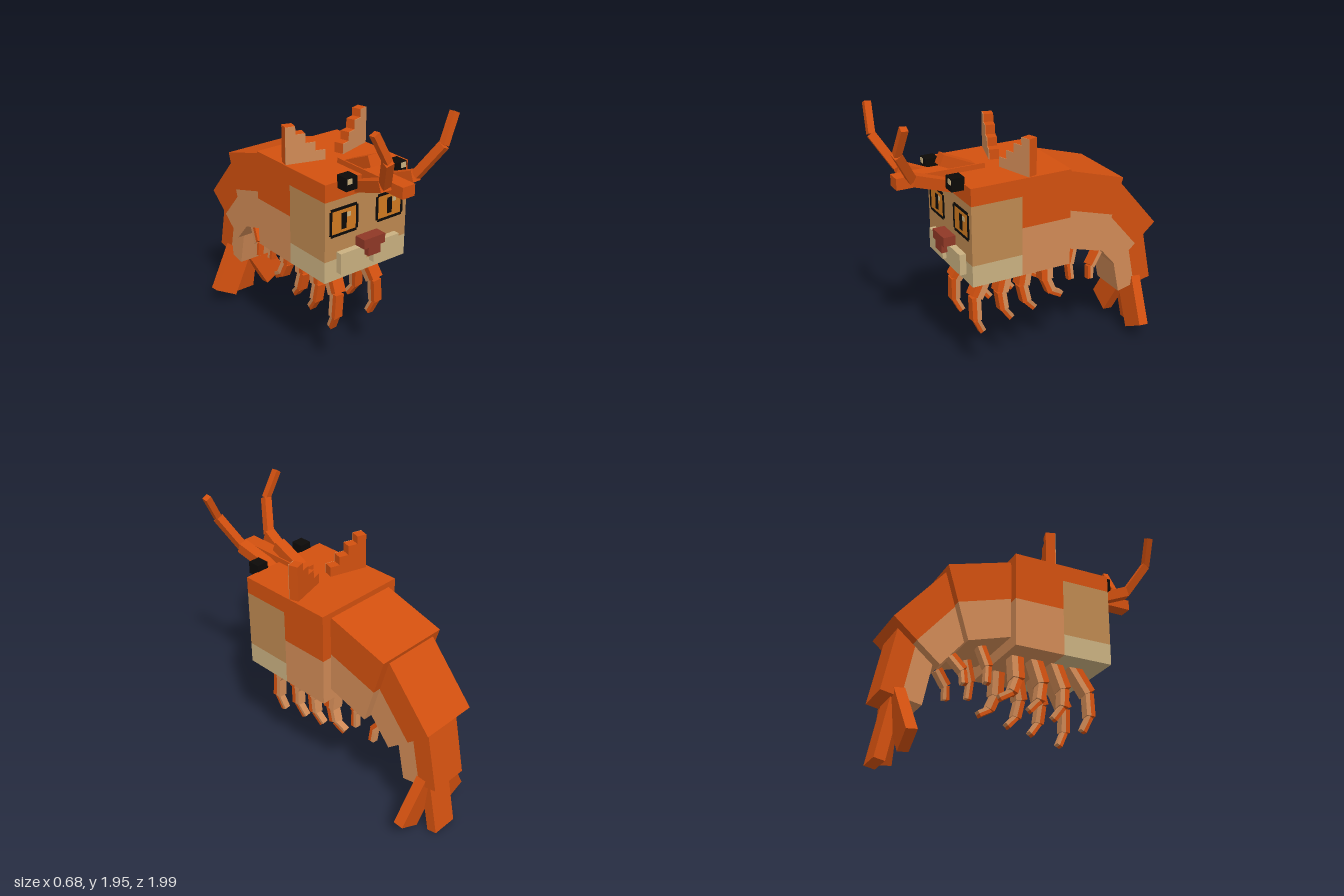
import * as THREE from 'three';

const mat = (name, color) => {
  const m = new THREE.MeshStandardMaterial({ color });
  m.name = name;
  return m;
};

export function createModel() {
  const orange = mat('shellOrange', 0xd2500f);
  const belly = mat('bellyTan', 0xd08a56);
  const faceTan = mat('faceTan', 0xbd8850);
  const cream = mat('cream', 0xc9b080);
  const black = mat('black', 0x0c0a08);
  const amber = mat('amber', 0xd07a20);
  const red = mat('noseRed', 0x8f3826);

  const root = new THREE.Group();
  root.name = 'catShrimp';
  const group = (name, parent = root) => {
    const g = new THREE.Group();
    g.name = name;
    parent.add(g);
    return g;
  };

  // Axis-aligned box given by its limits
  const block = (parent, name, m, x0, x1, y0, y1, z0, z1) => {
    const mesh = new THREE.Mesh(new THREE.BoxGeometry(x1 - x0, y1 - y0, z1 - z0), m);
    mesh.position.set((x0 + x1) / 2, (y0 + y1) / 2, (z0 + z1) / 2);
    mesh.name = name;
    parent.add(mesh);
    return mesh;
  };

  // Bar running from a to b; with two materials it is split along its depth
  const bar = (parent, name, a, b, width, depth, mPlus, mMinus) => {
    const A = new THREE.Vector3(...a), B = new THREE.Vector3(...b);
    const Y = B.clone().sub(A), len = Y.length();
    Y.normalize();
    const X = new THREE.Vector3(1, 0, 0).addScaledVector(Y, -Y.x).normalize();
    const Z = X.clone().cross(Y);
    const g = group(name, parent);
    g.quaternion.setFromRotationMatrix(new THREE.Matrix4().makeBasis(X, Y, Z));
    g.position.copy(A).add(B).multiplyScalar(0.5);
    const w = width / 2, l = len / 2, d = depth / 2;
    if (mMinus) {
      block(g, name + 'Upper', mPlus, -w, w, -l, l, 0, d);
      block(g, name + 'Lower', mMinus, -w, w, -l, l, -d, 0);
    } else block(g, name + 'Block', mPlus, -w, w, -l, l, -d, d);
  };

  // Head block in colour bands
  const head = group('head');
  block(head, 'backShell', orange, -0.34, 0.34, 1.16, 1.5, -0.17, 0.19);
  block(head, 'backBelly', belly, -0.34, 0.34, 0.82, 1.16, -0.17, 0.19);
  block(head, 'brow', orange, -0.34, 0.34, 1.38, 1.5, 0.19, 0.55);
  block(head, 'face', faceTan, -0.34, 0.34, 0.97, 1.38, 0.19, 0.55);
  block(head, 'chin', cream, -0.34, 0.34, 0.82, 0.97, 0.19, 0.55);
  block(head, 'lipPatch', faceTan, -0.03, 0.03, 0.9, 0.97, 0.55, 0.554);

  // Nose
  block(head, 'noseTop', red, -0.088, 0.088, 1.02, 1.085, 0.54, 0.635);
  block(head, 'noseStem', red, -0.05, 0.05, 0.96, 1.02, 0.54, 0.635);

  // Rostrum and its raised crest
  block(head, 'rostrum', orange, -0.05, 0.05, 1.457, 1.535, 0.31, 0.92);
  bar(head, 'crest', [0, 1.5, 0.385], [0, 1.598, 0.605], 0.08, 0.075, orange);

  for (const s of [-1, 1]) {
    const side = s > 0 ? 'left' : 'right';
    const span = (a, b) => (s > 0 ? [a, b] : [-b, -a]);

    block(head, side + 'Muzzle', cream, ...span(0.03, 0.245), 0.875, 1.02, 0.54, 0.595);

    // Painted eye: amber plate, black frame, pupil and glint
    const eye = group(side + 'Eye', head);
    block(eye, 'iris', amber, ...span(0.085, 0.3), 1.138, 1.315, 0.55, 0.553);
    for (const y of [1.13, 1.306])
      block(eye, 'frameRow', black, ...span(0.09, 0.295), y, y + 0.018, 0.55, 0.556);
    for (const x of [0.075, 0.287])
      block(eye, 'frameColumn', black, ...span(x, x + 0.018), 1.145, 1.308, 0.55, 0.556);
    block(eye, 'pupil', black, ...span(0.17, 0.21), 1.17, 1.28, 0.55, 0.556);
    const gx = s * 0.19 + 0.025;
    block(eye, 'glint', cream, gx, gx + 0.03, 1.245, 1.275, 0.55, 0.556);

    // Cube eyes on top
    block(head, side + 'TopEye', black, ...span(0.157, 0.245), 1.46, 1.547, 0.545, 0.635);
    block(head, side + 'TopEyeGlint', cream, ...span(0.2, 0.238), 1.505, 1.54, 0.635, 0.639);

    // Stepped ear with a tan front
    const ear = group(side + 'Ear', head);
    ear.position.set(s * 0.195, 1.5, 0.147);
    ear.rotation.y = s * 0.29;
    [0.07, 0.13, 0.195, 0.25].forEach((h, i) => {
      const x = -0.136 + i * 0.068;
      block(ear, 'earStep', orange, ...span(x, x + 0.068), -0.02, h, -0.035, 0.031);
      block(ear, 'earFront', belly, ...span(x, x + 0.068), -0.02, h, 0.031, 0.035);
    });

    // Antenna
    const antenna = group(side + 'Antenna');
    const ant = [[0.065, 1.42, 0.52], [0.125, 1.545, 0.845], [0.222, 1.755, 0.968], [0.315, 1.94, 0.95]];
    [0.075, 0.055, 0.045].forEach((w, i) => {
      const p = (q) => [s * q[0], q[1], q[2]];
      bar(antenna, 'antennaPart', p(ant[i]), p(ant[i + 1]), w, w, orange);
    });

    // Legs: joints as [y, z], orange in front and tan behind
    const legs = [
      [[0.84, 0.35], [0.65, 0.46], [0.48, 0.46], [0.375, 0.41]],
      [[0.84, 0.21], [0.645, 0.27], [0.515, 0.255], [0.425, 0.19]],
      [[0.84, 0.06], [0.655, 0.105], [0.53, 0.08], [0.455, 0.01]],
      [[0.84, -0.08], [0.655, -0.08], [0.555, -0.12], [0.505, -0.205]],
      [[0.86, -0.325], [0.715, -0.28], [0.595, -0.29]],
      [[0.75, -0.53], [0.655, -0.455], [0.56, -0.45]],
    ];
    const jointX = [0.14, 0.163, 0.175, 0.165];
    legs.forEach((path, n) => {
      const leg = group(side + 'Leg' + (n + 1));
      const widths = n < 4 ? [0.088, 0.066, 0.046] : [0.06, 0.045];
      const inset = n < 4 ? 0 : 0.02;
      widths.forEach((w, i) => {
        const p = (k) => [s * (jointX[k] - inset), ...path[k]];
        bar(leg, 'legPart', p(i), p(i + 1), w, w, belly, orange);
      });
    });

    // Side tail fin
    bar(root, side + 'TailFin', [s * 0.03, 0.47, -0.87], [s * 0.235, 0.1, -0.835], 0.19, 0.075, orange);
  }

  // Curling abdomen segments, shell outside and belly inside
  bar(root, 'abdomenFront', [0, 1.207, -0.1], [0, 1.075, -0.55], 0.54, 0.54, orange, belly);
  bar(root, 'abdomenMiddle', [0, 1.17, -0.46], [0, 0.775, -0.797], 0.42, 0.42, orange, belly);
  bar(root, 'abdomenRear', [0, 0.845, -0.765], [0, 0.404, -0.856], 0.28, 0.28, orange, belly);
  bar(root, 'middleTailFin', [0, 0.45, -0.865], [0, 0.008, -0.955], 0.19, 0.075, orange);

  return root;
}
